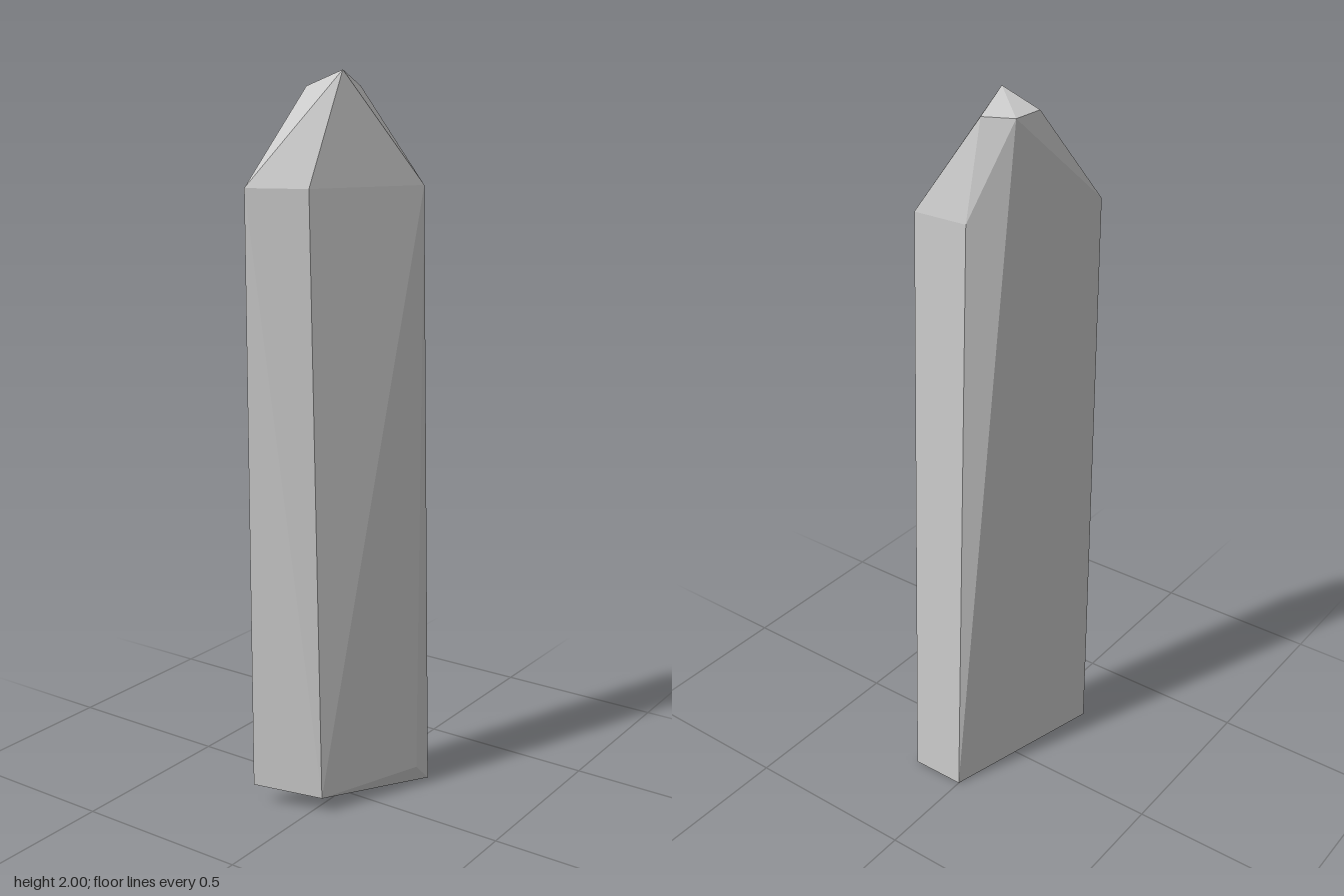
import * as THREE from 'three';
import { ConvexGeometry } from 'three/addons/geometries/ConvexGeometry.js';

// Corner rings of the faceted crystal, each corner as [x, y, z]
const base = [
  [-0.158, 0.06, 0.208],
  [0.03, 0.045, 0.143],
  [0.157, 0, -0.21],
  [0, 0, -0.21],
];
const chamfer = [[0.157, 0.06, -0.145]]; // nick above the back corner of the base
const shoulder = [
  [-0.158, 1.71, 0.208],
  [-0.003, 1.71, 0.143],
  [0.157, 1.71, -0.146],
  [0, 1.71, -0.143],
];
const tip = [
  [0.03, 2, 0.042],
  [-0.083, 1.96, 0.042],
  [-0.08, 1.96, -0.05],
  [-0.003, 1.96, -0.086],
];

export function createModel() {
  const model = new THREE.Group();
  model.name = 'crystalShard';

  // The shard is a convex solid: one flat facet per hull face
  const corners = [...base, ...chamfer, ...shoulder, ...tip].map((p) => new THREE.Vector3(...p));
  const crystal = new THREE.Mesh(
    new ConvexGeometry(corners),
    new THREE.MeshStandardMaterial({ color: 0xcccccc, flatShading: true }),
  );
  crystal.name = 'crystal';
  model.add(crystal);
  return model;
}
